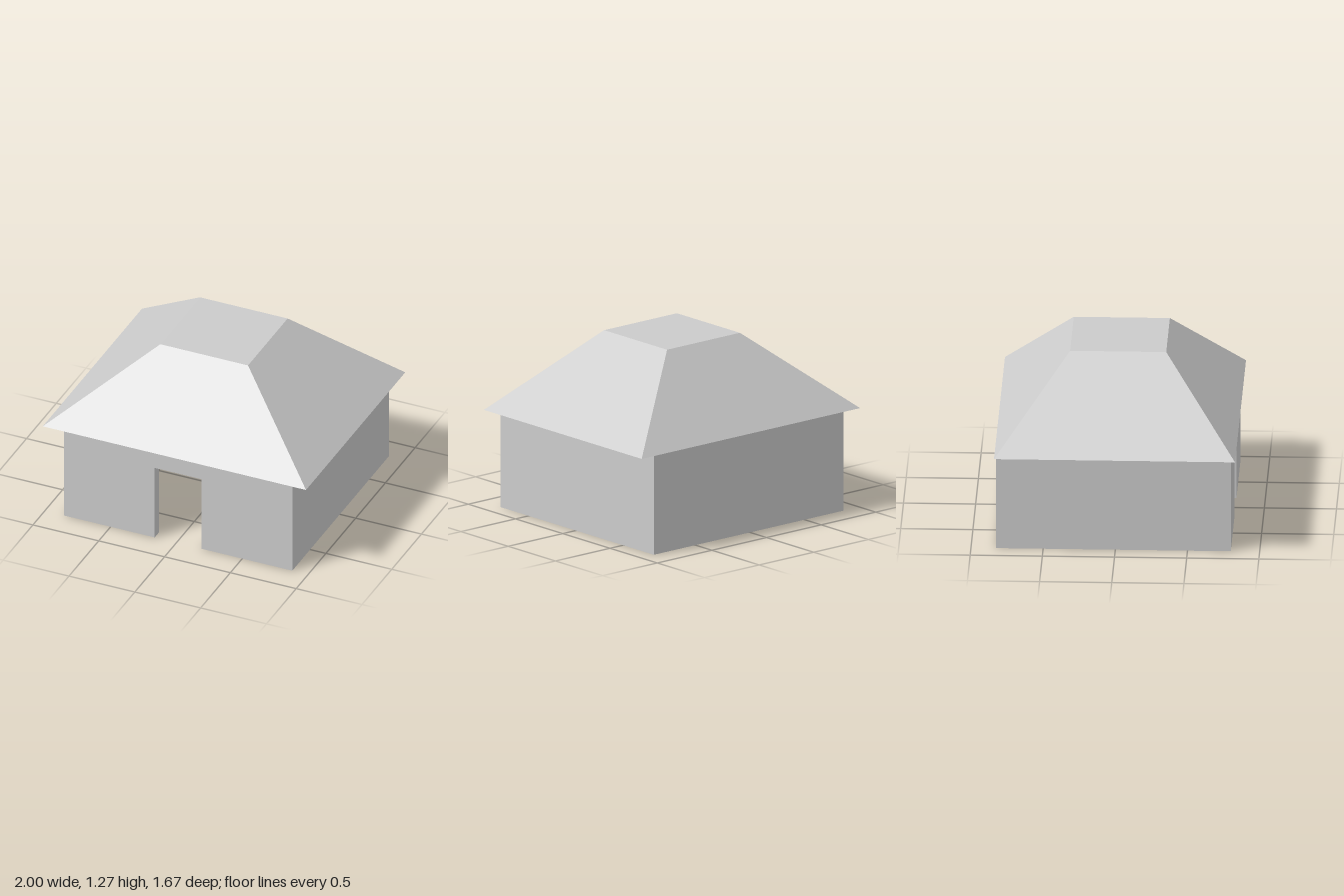
import * as THREE from 'three';

const WALL_H = 0.713, DOOR_H = 0.57, ROOF_TOP = 1.27;
const X0 = -0.855, X1 = 0.88, Z0 = -0.825, Z1 = 0.80; // outer wall footprint
const SIDE_T = 0.112, END_T = 0.073;                  // wall thicknesses
const DOOR_X0 = -0.165, DOOR_X1 = 0.19;

export function createModel() {
  const hut = new THREE.Group();
  hut.name = 'hut';
  const material = new THREE.MeshStandardMaterial({ color: 0xcccccc, flatShading: true });
  const add = (name, geometry) => {
    const mesh = new THREE.Mesh(geometry, material);
    mesh.name = name;
    hut.add(mesh);
    return mesh;
  };

  // Walls: floor plan of a ring left open at the doorway, raised to the eaves
  const plan = [
    [DOOR_X0, Z1], [X0, Z1], [X0, Z0], [X1, Z0], [X1, Z1], [DOOR_X1, Z1],
    [DOOR_X1, Z1 - END_T], [X1 - SIDE_T, Z1 - END_T], [X1 - SIDE_T, Z0 + END_T],
    [X0 + SIDE_T, Z0 + END_T], [X0 + SIDE_T, Z1 - END_T], [DOOR_X0, Z1 - END_T],
  ].map(([x, z]) => new THREE.Vector2(x, -z));
  const walls = new THREE.ExtrudeGeometry(new THREE.Shape(plan), { depth: WALL_H, bevelEnabled: false });
  walls.rotateX(-Math.PI / 2);
  add('walls', walls);

  // Lintel over the doorway
  const lintel = add('doorLintel', new THREE.BoxGeometry(DOOR_X1 - DOOR_X0, WALL_H - DOOR_H, END_T));
  lintel.position.set((DOOR_X0 + DOOR_X1) / 2, (WALL_H + DOOR_H) / 2, Z1 - END_T / 2);

  // Roof: a box tapered to a small square flat top
  const roofH = ROOF_TOP - WALL_H;
  const roof = new THREE.BoxGeometry(2, roofH, 1.67);
  const p = roof.attributes.position;
  for (let i = 0; i < p.count; i++) {
    if (p.getY(i) > 0) {
      p.setX(i, Math.sign(p.getX(i)) * 0.333);
      p.setZ(i, Math.sign(p.getZ(i)) * 0.333);
    }
  }
  roof.computeVertexNormals();
  add('roof', roof).position.y = WALL_H + roofH / 2;

  return hut;
}
